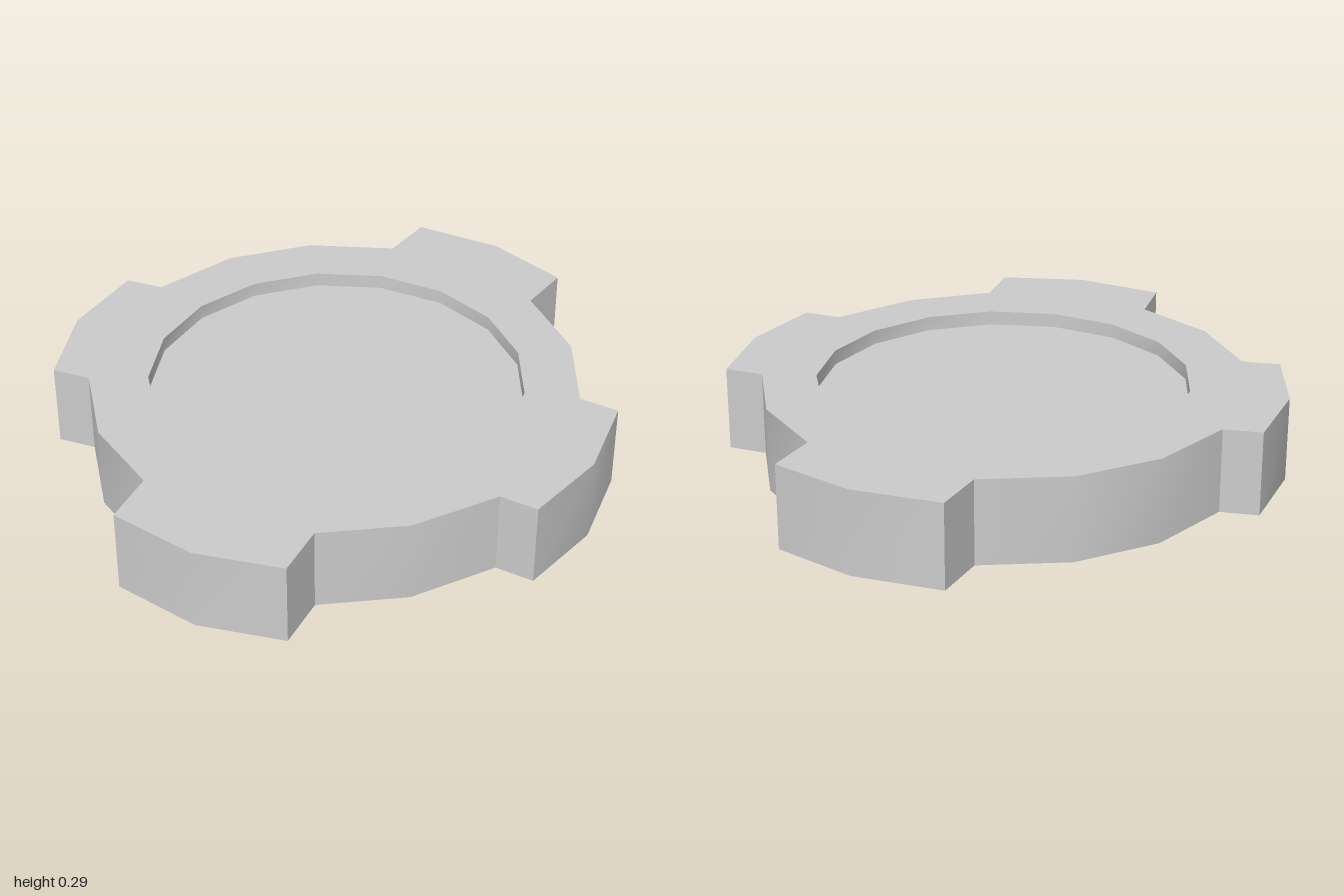
import * as THREE from 'three';
import { toCreasedNormals } from 'three/addons/utils/BufferGeometryUtils.js';

const HEIGHT = 0.29, FLOOR = 0.24, RECESS_RADIUS = 0.63, RECESS_SIDES = 17;

// Outer outline as [x, z], clockwise seen from above, starting at the back
const outline = [
  [0, -1], [0.29, -0.95], [0.29, -0.765], [0.55, -0.605], // back tab, right half
  [0.73, -0.36], [0.865, -0.375], [0.945, -0.08], [0.92, 0.215], [0.79, 0.23], // +x tab
  [0.65, 0.505], [0.43, 0.71], [0.46, 0.89], [0.185, 1], [-0.12, 1], [-0.155, 0.815], // front tab
  [-0.435, 0.71], [-0.66, 0.5], [-0.785, 0.535], [-0.92, 0.265], [-0.945, -0.035], [-0.82, -0.07], // -x tab
  [-0.74, -0.365], [-0.56, -0.605], [-0.3, -0.765], [-0.3, -0.95], // back tab, left half
];

// Round recess, same direction
const recess = Array.from({ length: RECESS_SIDES }, (_, i) => {
  const a = (i / RECESS_SIDES) * Math.PI * 2;
  return [RECESS_RADIUS * Math.sin(a), -RECESS_RADIUS * Math.cos(a)];
});

const material = new THREE.MeshStandardMaterial({ color: 0xcccccc });

function addMesh(group, name, geometry) {
  const mesh = new THREE.Mesh(geometry, material);
  mesh.name = name;
  group.add(mesh);
}

// Flat horizontal face at height y, facing up (1) or down (-1)
function cap(points, y, facing, hole) {
  const toVectors = (list) => list.map(([x, z]) => new THREE.Vector2(x, -facing * z));
  const shape = new THREE.Shape(toVectors(points));
  if (hole) shape.holes.push(new THREE.Path(toVectors(hole)));
  return new THREE.ShapeGeometry(shape).rotateX(-facing * Math.PI / 2).translate(0, y, 0);
}

// Vertical wall along a closed loop; a clockwise loop faces outward
function wall(points, y0, y1) {
  const positions = [];
  points.forEach(([ax, az], i) => {
    const [bx, bz] = points[(i + 1) % points.length];
    positions.push(bx, y0, bz, ax, y0, az, ax, y1, az);
    positions.push(bx, y0, bz, ax, y1, az, bx, y1, bz);
  });
  const geometry = new THREE.BufferGeometry();
  geometry.setAttribute('position', new THREE.Float32BufferAttribute(positions, 3));
  return toCreasedNormals(geometry, 0.6);
}

export function createModel() {
  const group = new THREE.Group();
  group.name = 'tabbedDisc';
  addMesh(group, 'outerWall', wall(outline, 0, HEIGHT));
  addMesh(group, 'topRim', cap(outline, HEIGHT, 1, recess));
  addMesh(group, 'recessWall', wall([...recess].reverse(), FLOOR, HEIGHT));
  addMesh(group, 'recessFloor', cap(recess, FLOOR, 1));
  addMesh(group, 'underside', cap(outline, 0, -1));
  return group;
}
